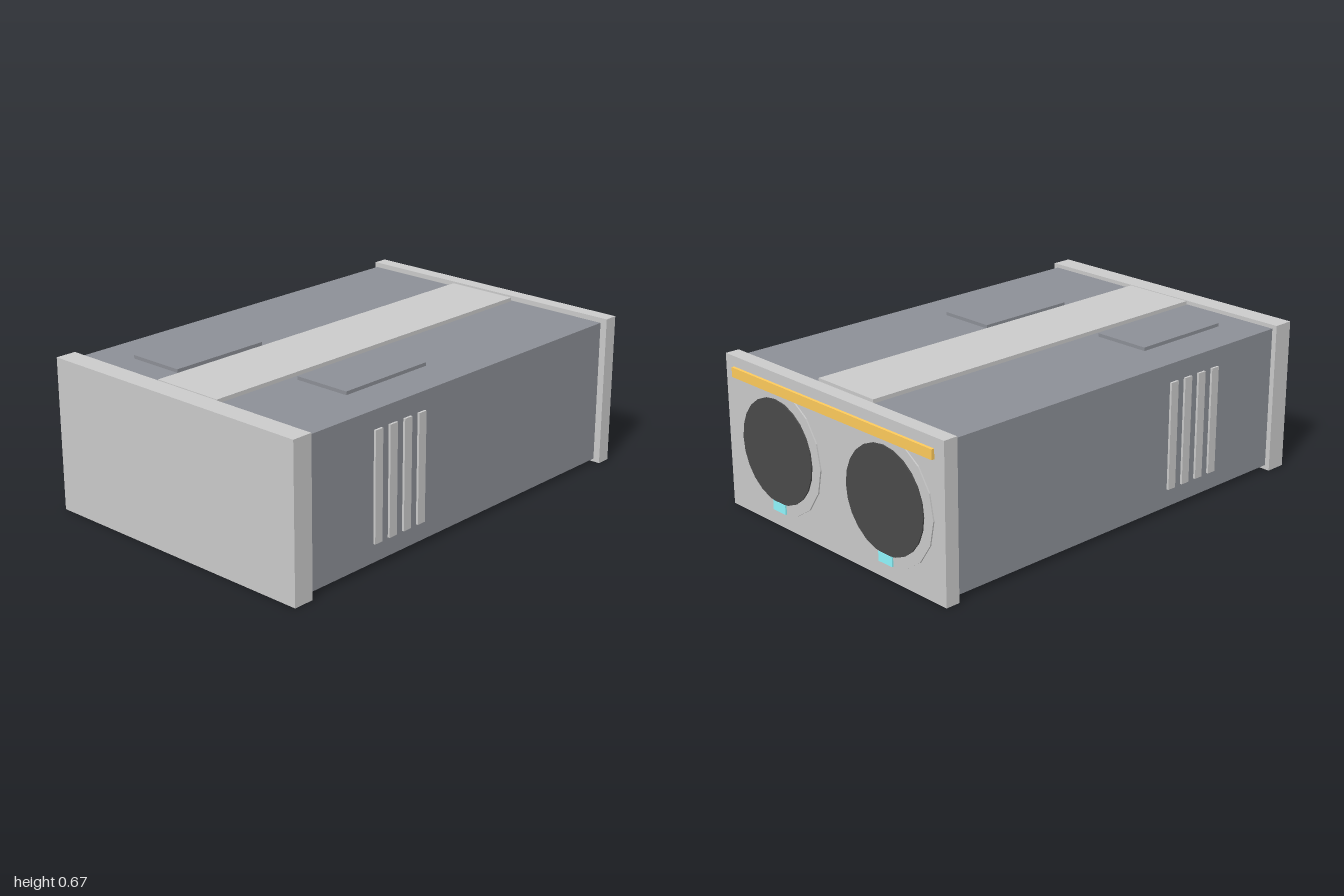
import * as THREE from 'three';

const material = (color) => new THREE.MeshStandardMaterial({ color, flatShading: true });

export function createModel() {
  const model = new THREE.Group();
  const grey = material(0xcccccc);
  const shell = material(0x8d9097);
  const dark = material(0x4a4a4a);
  const gold = material(0xffcc5c);
  const teal = material(0x90f8ff);

  function add(name, geometry, mat, x, y, z) {
    const mesh = new THREE.Mesh(geometry, mat);
    mesh.name = name;
    mesh.position.set(x, y, z);
    model.add(mesh);
    return mesh;
  }

  // Box given by its extents along each axis
  function box(name, mat, [x0, x1], [y0, y1], [z0, z1]) {
    return add(name, new THREE.BoxGeometry(x1 - x0, y1 - y0, z1 - z0), mat,
      (x0 + x1) / 2, (y0 + y1) / 2, (z0 + z1) / 2);
  }

  // Disc lying against the back plate, between two depths
  function disc(name, mat, radius, sides, x, z0, z1) {
    const geometry = new THREE.CylinderGeometry(radius, radius, z1 - z0, sides).rotateX(Math.PI / 2);
    return add(name, geometry, mat, x, 0.333, (z0 + z1) / 2);
  }

  // Main body with front and back end plates
  box('body', shell, [-0.645, 0.645], [0.02, 0.65], [-0.91, 0.907]);
  box('frontPlate', grey, [-0.667, 0.667], [0, 0.667], [0.907, 1]);
  box('backPlate', grey, [-0.667, 0.667], [0, 0.667], [-0.987, -0.923]);

  // Raised spine and two hatches on the roof
  box('roofSpine', grey, [-0.167, 0.167], [0.64, 0.667], [-0.9, 0.9]);
  box('leftHatch', shell, [0.2, 0.46], [0.64, 0.665], [0.03, 0.5]);
  box('rightHatch', shell, [-0.465, -0.205], [0.64, 0.665], [0.295, 0.765]);

  for (const side of [-1, 1]) {
    // Upright vent ribs on each flank
    for (let i = 0; i < 4; i++) {
      const z = 0.275 + i * 0.0837;
      add('ventRib', new THREE.BoxGeometry(0.03, 0.47, 0.042), grey, side * 0.64, 0.335, z);
    }
    // Exhaust: rim, dark opening and a small light below it
    const x = side * 0.333;
    disc('exhaustRim', grey, 0.275, 16, x, -0.993, -0.98);
    disc('exhaustOpening', dark, 0.225, 24, x, -0.999, -0.98);
    box('exhaustLight', teal, [x - 0.04, x + 0.04], [0.07, 0.112], [-1, -0.98]);
  }

  // Light bar across the back
  box('lightBar', gold, [-0.613, 0.613], [0.58, 0.622], [-1, -0.98]);

  return model;
}
